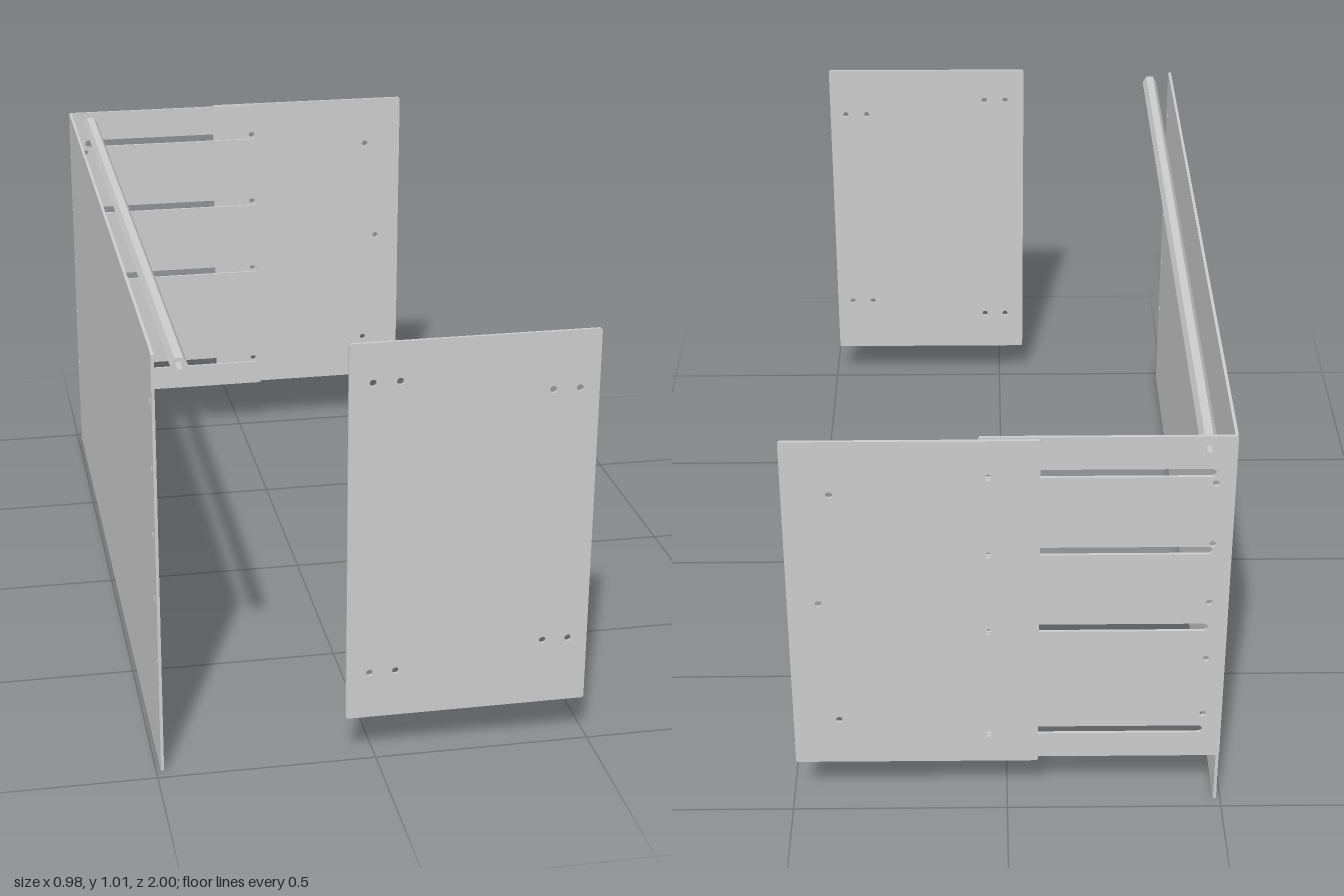
import * as THREE from 'three';

const T = 0.007; // sheet thickness
const mat = new THREE.MeshStandardMaterial({ color: 0xcccccc, flatShading: true });

function hole(x, y, r) {
  const p = new THREE.Path();
  p.absarc(x, y, r, 0, Math.PI * 2, true);
  return p;
}

// Horizontal slot with round ends
function slot(x0, x1, y, r) {
  const p = new THREE.Path();
  p.absarc(x0 + r, y, r, Math.PI / 2, Math.PI * 1.5, false);
  p.absarc(x1 - r, y, r, -Math.PI / 2, Math.PI / 2, false);
  p.closePath();
  return p;
}

// Sheet in the XY plane with rounded corners and cut-outs, z from 0 to T
function sheet(name, x0, x1, y0, y1, holes, r = 0.006) {
  const s = new THREE.Shape();
  s.absarc(x1 - r, y0 + r, r, -Math.PI / 2, 0, false);
  s.absarc(x1 - r, y1 - r, r, 0, Math.PI / 2, false);
  s.absarc(x0 + r, y1 - r, r, Math.PI / 2, Math.PI, false);
  s.absarc(x0 + r, y0 + r, r, Math.PI, Math.PI * 1.5, false);
  s.closePath();
  s.holes.push(...holes);
  const g = new THREE.ExtrudeGeometry(s, { depth: T, bevelEnabled: false, curveSegments: 8 });
  const m = new THREE.Mesh(g, mat);
  m.name = name;
  return m;
}

export function createModel() {
  const root = new THREE.Group();
  root.name = 'panelAssembly';
  const top = 1.012, R = 0.008, half = 0.978;
  const rowYs = [0.265, 0.422, 0.578, 0.735, 0.893];
  const slotYs = [0.22, 0.51, 0.718, 0.92];

  // Long side panel with a column of holes at each end
  const sideHoles = rowYs.flatMap((y) => [hole(-0.94, y, R), hole(0.94, y, R)]);
  const side = sheet('sidePanel', -half, half, 0, top, sideHoles);
  side.rotation.y = Math.PI / 2;
  side.position.x = -0.49;
  root.add(side);

  // Slotted panel at the back
  const slotted = sheet('slottedBackPanel', -0.49, 0.063, 0.142, top, [
    ...rowYs.map((y) => hole(-0.447, y, R)),
    ...slotYs.map((y) => slot(-0.447, 0.053, y, 0.01)),
    hole(-0.43, 0.981, 0.009),
  ]);
  slotted.position.z = -half - T - 0.001;
  root.add(slotted);

  // Sliding panel behind the slots
  const sliding = sheet('slidingBackPanel', -0.07, 0.487, 0.142, top, [
    ...slotYs.map((y) => hole(0.043, y, R)),
    hole(0.383, 0.877, R), hole(0.418, 0.59, R), hole(0.383, 0.265, R),
  ]);
  sliding.position.z = -1;
  root.add(sliding);

  // Free-standing front panel
  const front = sheet('frontPanel', -0.07, 0.487, 0.107, top, [
    ...[-0.017, 0.043].flatMap((x) => [hole(x, 0.92, R), hole(x, 0.22, R)]),
    ...[0.383, 0.443].flatMap((x) => [hole(x, 0.877, R), hole(x, 0.265, R)]),
  ]);
  front.position.z = 1 - T;
  root.add(front);

  // Hollow hexagonal rail
  const hex = new THREE.Shape();
  for (let i = 0; i < 6; i++) {
    const a = (i * Math.PI) / 3;
    hex[i ? 'lineTo' : 'moveTo'](0.019 * Math.cos(a), 0.019 * Math.sin(a));
  }
  hex.closePath();
  hex.holes.push(hole(0, 0, 0.009));
  const rail = new THREE.Mesh(
    new THREE.ExtrudeGeometry(hex, { depth: 2 * half, bevelEnabled: false, curveSegments: 10 }), mat);
  rail.name = 'hexRail';
  rail.position.set(-0.43, 0.981, -half);
  root.add(rail);

  return root;
}
